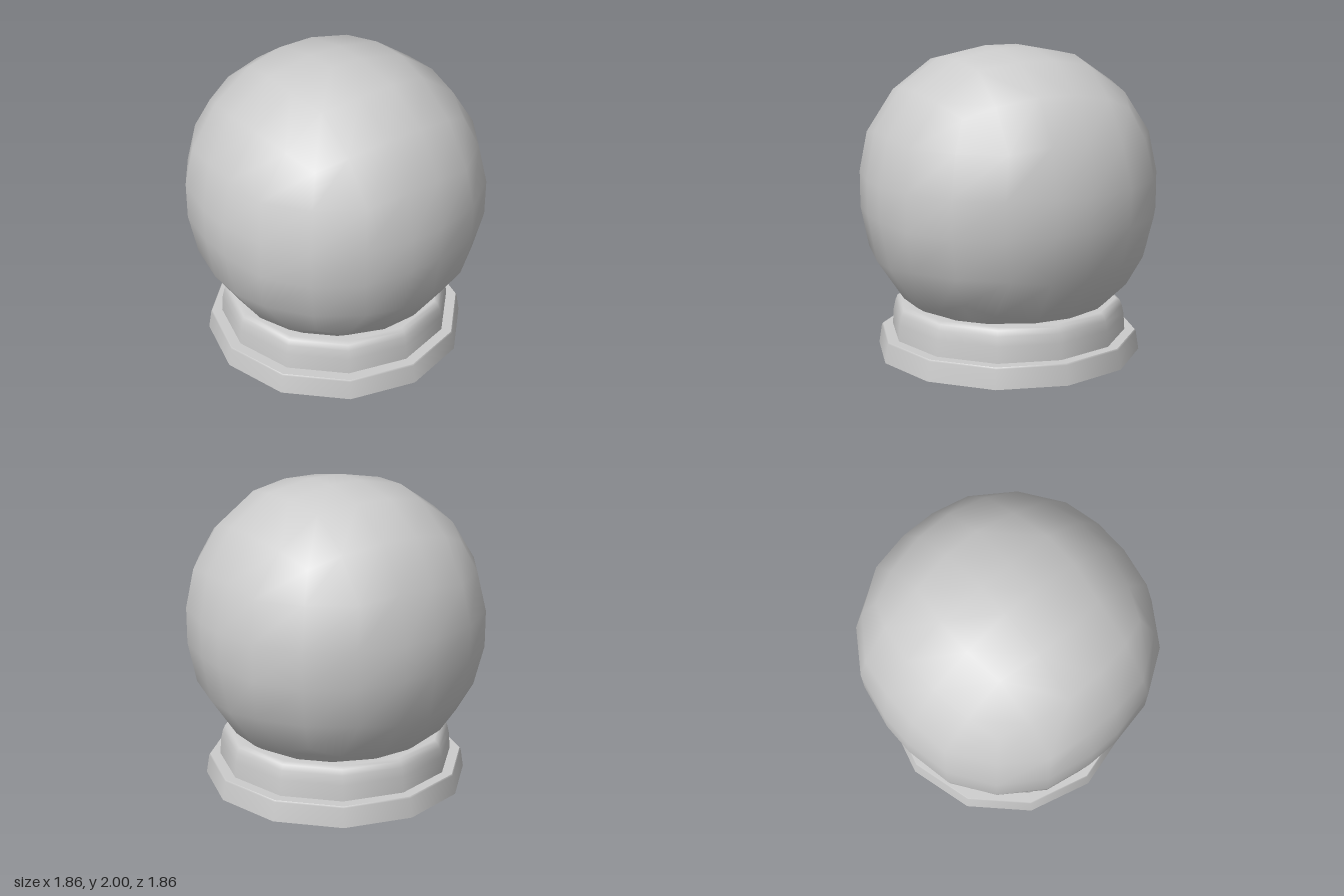
import * as THREE from 'three';
import { mergeVertices } from 'three/addons/utils/BufferGeometryUtils.js';

const SIDES = 12;

// Rounded positions for each kind of grid point on a 5 x 5 x 5 box,
// keyed by its distances from the centre (1, 3 or 5), largest first.
const ROUNDED = {
  511: [0.93, 0.11, 0.11],
  531: [0.87, 0.42, 0.12],
  533: [0.83, 0.38, 0.38],
  551: [0.69, 0.69, 0.12],
  553: [0.645, 0.645, 0.38],
  555: [0.57, 0.57, 0.57],
};

// Ball: a subdivided box pushed out to a low-poly sphere
function ballGeometry() {
  let geometry = new THREE.BoxGeometry(10, 10, 10, 5, 5, 5);
  geometry.deleteAttribute('uv');
  geometry.deleteAttribute('normal');
  geometry = mergeVertices(geometry, 1e-3);
  const pos = geometry.attributes.position;
  for (let i = 0; i < pos.count; i++) {
    const p = [pos.getX(i), pos.getY(i), pos.getZ(i)];
    const levels = p.map((v) => Math.round(Math.abs(v)));
    const key = [...levels].sort((a, b) => b - a);
    const radii = ROUNDED[key.join('')];
    pos.setXYZ(i, ...p.map((v, axis) => Math.sign(v) * radii[key.indexOf(levels[axis])]));
  }
  geometry.computeVertexNormals();
  return geometry;
}

// Turned part from [radius, height] pairs, listed from the bottom up
function turned(name, profile, material) {
  const points = profile.map(([r, y]) => new THREE.Vector2(r, y));
  const mesh = new THREE.Mesh(new THREE.LatheGeometry(points, SIDES), material);
  mesh.name = name;
  return mesh;
}

export function createModel() {
  const model = new THREE.Group();
  model.name = 'globeOnStand';
  const solid = new THREE.MeshStandardMaterial({ color: 0xcccccc });
  const thin = new THREE.MeshStandardMaterial({ color: 0xcccccc, side: THREE.DoubleSide });

  const ball = new THREE.Mesh(ballGeometry(), solid);
  ball.name = 'ball';
  ball.position.y = 1.07;
  model.add(ball);

  // Hollow stand, open below: foot wall, ledge and rounded collar
  const stand = new THREE.Group();
  stand.name = 'stand';
  stand.add(
    turned('footWall', [[0.87, 0], [0.85, 0.125], [0.843, 0.135]], thin),
    turned('footLedge', [[0.843, 0.135], [0.775, 0.135]], thin),
    turned('collar', [
      [0.775, 0.135], [0.768, 0.24], [0.755, 0.3], [0.74, 0.335], [0.715, 0.35], [0.63, 0.35],
    ], thin),
  );
  model.add(stand);
  return model;
}
